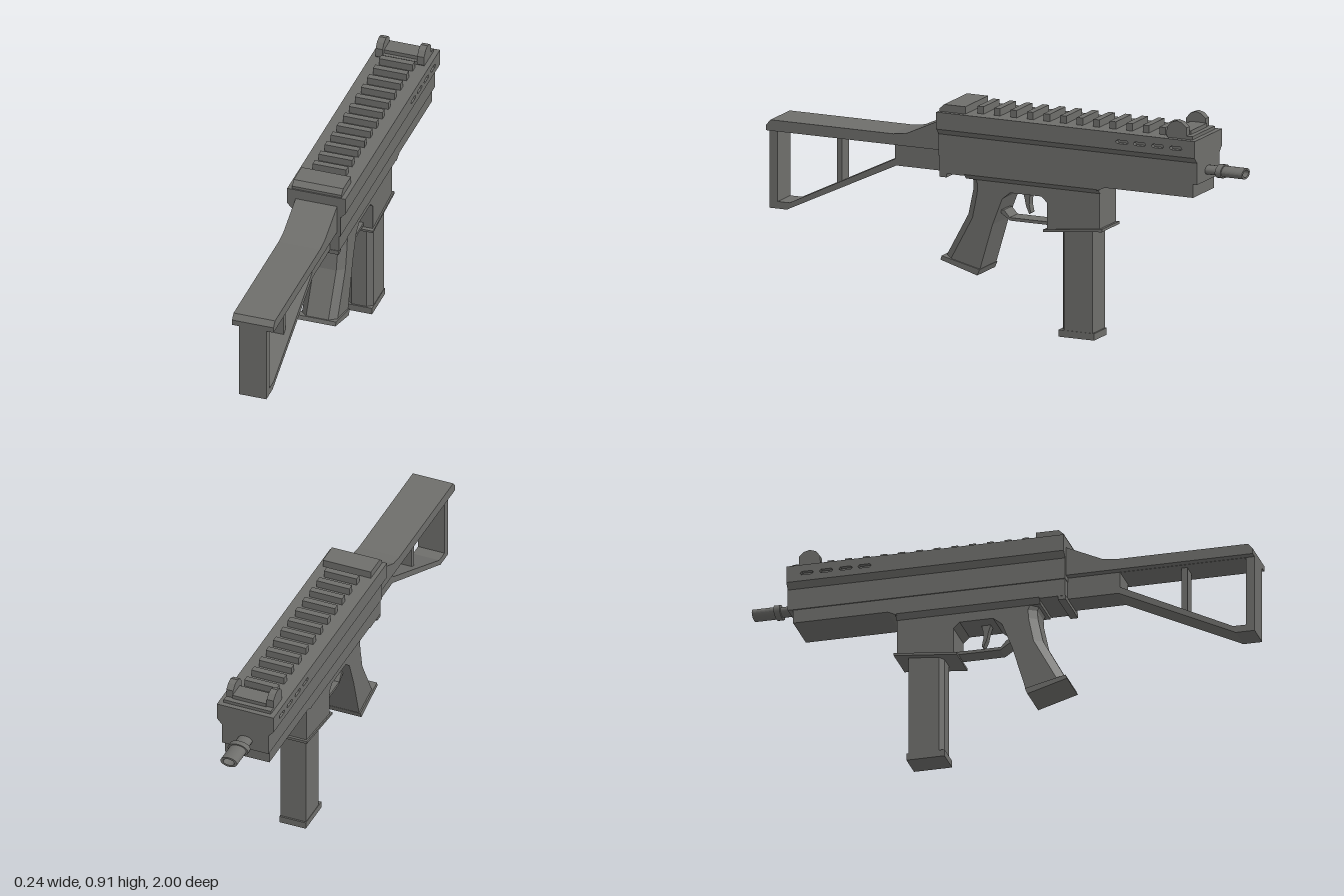
import * as THREE from 'three';

const gunmetal = new THREE.MeshStandardMaterial({ color: 0x6e6e6b });
gunmetal.name = 'gunmetal';

function add(parent, name, geometry) {
  const mesh = new THREE.Mesh(geometry, gunmetal);
  mesh.name = name;
  parent.add(mesh);
  return mesh;
}

const outline = (pts) => pts.map(([a, b]) => new THREE.Vector2(a, b));

// Side profile given as [z, y], extruded across x between x0 and x1
function profile(pts, x0, x1, holes = []) {
  const shape = new THREE.Shape(outline(pts));
  for (const h of holes) shape.holes.push(new THREE.Path(outline(h)));
  const g = new THREE.ExtrudeGeometry(shape, { depth: x1 - x0, bevelEnabled: false });
  return g.rotateY(-Math.PI / 2).translate(x1, 0, 0);
}

// Half of a cross-section [x, y], mirrored and extruded along z
function section(half, z0, z1) {
  const mirrored = half.map(([x, y]) => [-x, y]).reverse();
  const shape = new THREE.Shape(outline([...half, ...mirrored]));
  return new THREE.ExtrudeGeometry(shape, { depth: z1 - z0, bevelEnabled: false }).translate(0, 0, z0);
}

// Box from its extents
function box(x0, x1, y0, y1, z0, z1) {
  return new THREE.BoxGeometry(x1 - x0, y1 - y0, z1 - z0)
    .translate((x0 + x1) / 2, (y0 + y1) / 2, (z0 + z1) / 2);
}

// Column with a chamfered back, through rows of [backZ, backY, frontZ, frontY] from the top down
function column(rows, half, backHalf, chamfer) {
  const rings = rows.map(([bz, by, fz, fy]) => {
    const t = chamfer / (bz - fz);
    const cz = bz - chamfer, cy = by + (fy - by) * t;
    return [[half, cy, cz], [half, fy, fz], [-half, fy, fz], [-half, cy, cz], [-backHalf, by, bz], [backHalf, by, bz]];
  });
  const pos = [];
  for (let i = 0; i < rings.length - 1; i++) {
    for (let j = 0; j < 6; j++) {
      const k = (j + 1) % 6;
      const a = rings[i][j], b = rings[i][k], c = rings[i + 1][j], d = rings[i + 1][k];
      pos.push(...a, ...c, ...b, ...b, ...c, ...d);
    }
  }
  const g = new THREE.BufferGeometry();
  g.setAttribute('position', new THREE.Float32BufferAttribute(pos, 3));
  g.computeVertexNormals();
  return g;
}

function slot(z, y, length, height) {
  const a = length / 2, b = height / 2;
  return [[z - a, y], [z - a + b, y - b], [z + a - b, y - b], [z + a, y], [z + a - b, y + b], [z - a + b, y + b]];
}

export function createModel() {
  const model = new THREE.Group();
  model.name = 'model';

  // Upper receiver with flared sides and vent slots
  const upper = new THREE.Group();
  upper.name = 'upperReceiver';
  model.add(upper);
  add(upper, 'receiverCore', section(
    [[0.097, 0.67], [0.097, 0.755], [0.118, 0.778], [0.1, 0.778], [0.1, 0.845]], -0.84, 0.26));
  const side = [[-0.84, 0.778], [0.26, 0.778], [0.26, 0.845], [-0.84, 0.845]];
  const vents = [-0.53, -0.605, -0.682, -0.759].map((z) => slot(z, 0.81, 0.054, 0.014));
  add(upper, 'leftSidePanel', profile(side, 0.1, 0.118, vents));
  add(upper, 'rightSidePanel', profile(side, -0.118, -0.1, vents));

  // Top rail, rear block and front sight
  const rail = new THREE.Group();
  rail.name = 'topRail';
  model.add(rail);
  for (let i = 0; i < 12; i++) {
    const z = -0.678 + i * 0.0703;
    add(rail, 'railSlat', box(-0.068, 0.068, 0.84, 0.874, z - 0.013, z + 0.013));
  }
  add(rail, 'rearBlock', profile(
    [[0.255, 0.84], [0.255, 0.856], [0.235, 0.874], [0.145, 0.874], [0.145, 0.84]], -0.1, 0.1));
  add(rail, 'frontSightBase', box(-0.098, 0.098, 0.84, 0.858, -0.82, -0.715));
  add(rail, 'frontSightBlock', box(-0.07, 0.07, 0.85, 0.873, -0.8, -0.73));
  const ear = [[-0.71, 0.85], [-0.712, 0.885], [-0.728, 0.905], [-0.752, 0.914],
    [-0.775, 0.908], [-0.795, 0.89], [-0.795, 0.85]];
  for (const s of [-1, 1]) add(rail, 'sightEar', profile(ear, s * 0.084 - 0.014, s * 0.084 + 0.014));

  // Lower receiver and fore-end
  const lower = new THREE.Group();
  lower.name = 'lowerReceiver';
  model.add(lower);
  add(lower, 'lowerBody', section([[0.072, 0.585], [0.092, 0.605], [0.092, 0.672]], -0.415, 0.155));
  add(lower, 'rearBody', box(-0.092, 0.092, 0.6, 0.672, 0.155, 0.258));
  add(lower, 'rearLatch', box(-0.09, 0.09, 0.585, 0.602, 0.23, 0.26));
  add(lower, 'foreEnd', profile(
    [[-0.41, 0.672], [-0.41, 0.6], [-0.445, 0.616], [-0.82, 0.616], [-0.82, 0.672]], -0.092, 0.092));
  add(lower, 'triggerRoof', box(-0.072, 0.072, 0.548, 0.59, -0.2, -0.03));
  add(lower, 'magazineWell', profile(
    [[-0.165, 0.59], [-0.165, 0.548], [-0.19, 0.525], [-0.19, 0.42], [-0.413, 0.44], [-0.413, 0.59]], -0.072, 0.072));
  add(lower, 'wellLip', profile(
    [[-0.175, 0.411], [-0.175, 0.42], [-0.425, 0.447], [-0.425, 0.436]], -0.078, 0.078));

  // Magazine
  add(model, 'magazine', column(
    [[-0.236, 0.45, -0.374, 0.45], [-0.236, 0.02, -0.374, 0.02]], 0.053, 0.03, 0.017));
  add(model, 'magazineFloor', box(-0.055, 0.055, 0, 0.027, -0.381, -0.23));

  // Pistol grip and base plate
  add(model, 'grip', column([
    [0.15, 0.605, -0.06, 0.605],
    [0.136, 0.57, -0.035, 0.55],
    [0.138, 0.535, 0.002, 0.52],
    [0.158, 0.44, 0.043, 0.415],
    [0.25, 0.27, 0.097, 0.232],
  ], 0.072, 0.045, 0.03));
  add(model, 'gripBase', profile(
    [[0.262, 0.256], [0.256, 0.272], [0.095, 0.234], [0.105, 0.21]], -0.078, 0.078));

  // Trigger and guard
  add(model, 'trigger', profile(
    [[-0.055, 0.555], [-0.066, 0.52], [-0.072, 0.49], [-0.086, 0.458], [-0.093, 0.463],
      [-0.086, 0.495], [-0.088, 0.525], [-0.095, 0.555]], -0.016, 0.016));
  add(model, 'triggerGuard', profile(
    [[0.025, 0.468], [0.012, 0.468], [-0.012, 0.441], [-0.2, 0.441], [-0.2, 0.429], [-0.014, 0.429], [0.025, 0.455]],
    -0.035, 0.035));

  // Shoulder stock: wide comb above, narrower open frame below
  const stock = new THREE.Group();
  stock.name = 'stock';
  model.add(stock);
  add(stock, 'comb', profile(
    [[0.25, 0.688], [1, 0.688], [1, 0.71], [0.982, 0.731], [0.46, 0.731], [0.405, 0.738], [0.26, 0.805], [0.25, 0.805]],
    -0.084, 0.084));
  add(stock, 'frame', profile(
    [[0.25, 0.6], [0.46, 0.6], [0.91, 0.385], [0.925, 0.377], [1, 0.377], [1, 0.69], [0.25, 0.69]], -0.055, 0.055,
    [[[0.467, 0.687], [0.467, 0.625], [0.915, 0.405], [0.965, 0.405], [0.965, 0.687]]]));
  add(stock, 'strut', box(-0.03, 0.03, 0.495, 0.69, 0.703, 0.726));

  // Oval barrel with collar and hollow muzzle
  const barrel = new THREE.Group();
  barrel.name = 'barrel';
  barrel.position.y = 0.71;
  barrel.scale.x = 1.65;
  model.add(barrel);
  const tube = (name, r, z0, z1) => add(barrel, name,
    new THREE.CylinderGeometry(r, r, z1 - z0, 16).rotateX(Math.PI / 2).translate(0, 0, (z0 + z1) / 2));
  tube('barrelTube', 0.018, -0.89, -0.83);
  tube('barrelCollar', 0.026, -0.912, -0.888);
  const muzzle = [[0.013, 0.91], [0.013, 1], [0.021, 1], [0.021, 0.91]].reverse();
  add(barrel, 'muzzle', new THREE.ExtrudeGeometry(
    (() => {
      const ring = new THREE.Shape().absarc(0, 0, muzzle[0][0], 0, Math.PI * 2);
      ring.holes.push(new THREE.Path().absarc(0, 0, 0.014, 0, Math.PI * 2));
      return ring;
    })(), { depth: 0.09, bevelEnabled: false, curveSegments: 16 }).translate(0, 0, -1));

  return model;
}
